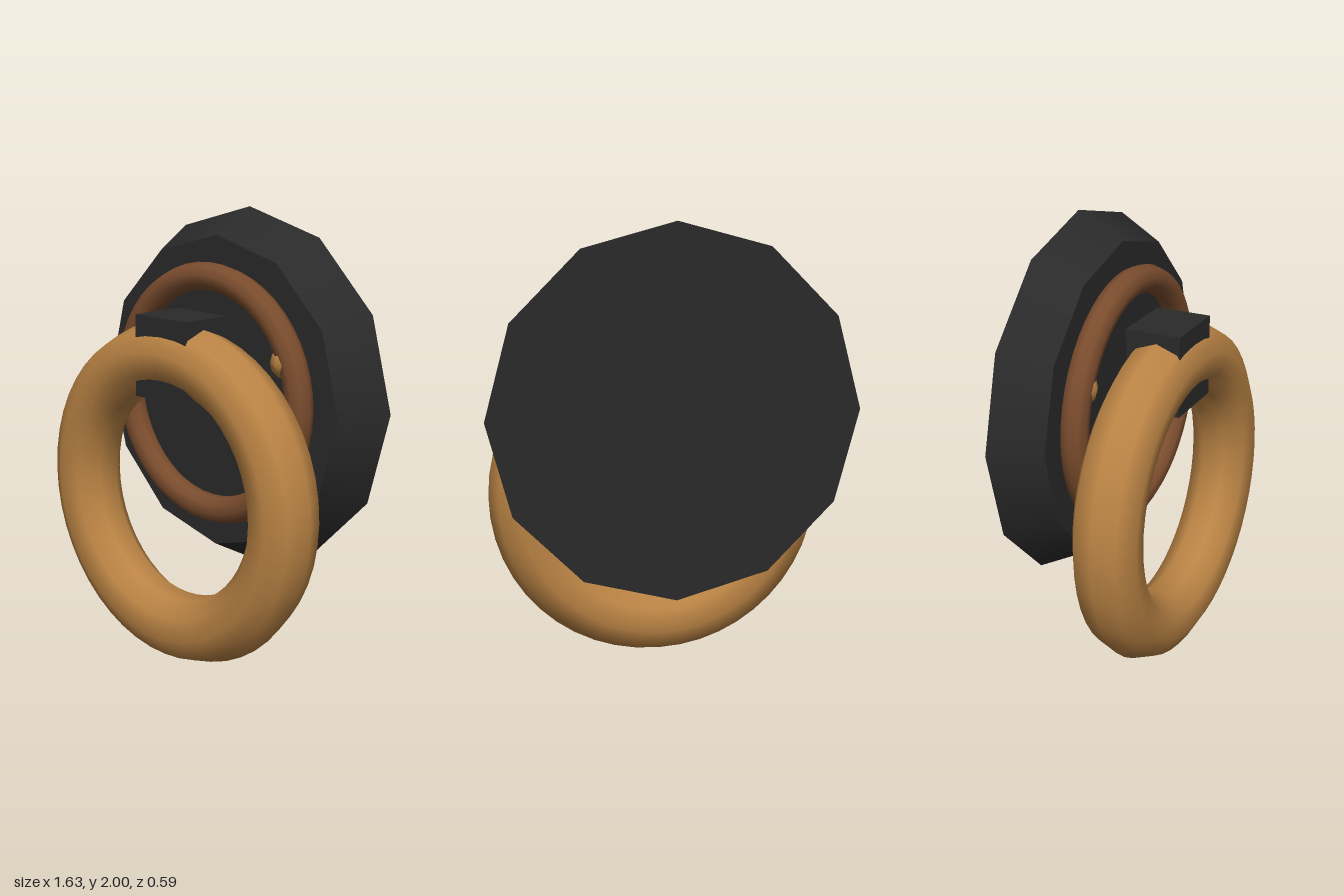
import * as THREE from 'three';

const material = (name, color) => {
  const m = new THREE.MeshStandardMaterial({ color });
  m.name = name;
  return m;
};

export function createModel() {
  const iron = material('black iron', 0x2a2a2a);
  const brass = material('brass', 0xba8344);
  const bronze = material('dark bronze', 0x7a4c2d);

  const group = new THREE.Group();
  group.name = 'doorKnocker';
  const add = (name, geometry, mat, x, y, z) => {
    const mesh = new THREE.Mesh(geometry, mat);
    mesh.name = name;
    mesh.position.set(x, y, z);
    group.add(mesh);
    return mesh;
  };

  // Twelve-sided tapered plate, wide side against the door
  const plate = new THREE.CylinderGeometry(0.705, 0.815, 0.21, 12).rotateX(Math.PI / 2);
  add('backPlate', plate, iron, 0, 1.185, -0.19);

  // Raised trim ring on the plate
  add('trimRing', new THREE.TorusGeometry(0.525, 0.062, 9, 48), bronze, 0, 1.187, -0.047);

  // Small studs bulging out of the trim ring
  for (const side of [-1, 1]) {
    const name = side > 0 ? 'leftStud' : 'rightStud';
    add(name, new THREE.SphereGeometry(0.07, 8, 6), brass, side * 0.45, 1.39, -0.048);
  }

  // Block that holds the hanging ring
  add('ringHolder', new THREE.BoxGeometry(0.31, 0.36, 0.25), iron, 0, 1.382, 0.13);

  // Heavy hanging ring
  add('knockerRing', new THREE.TorusGeometry(0.617, 0.15, 9, 48), brass, 0, 0.768, 0.147);

  return group;
}
